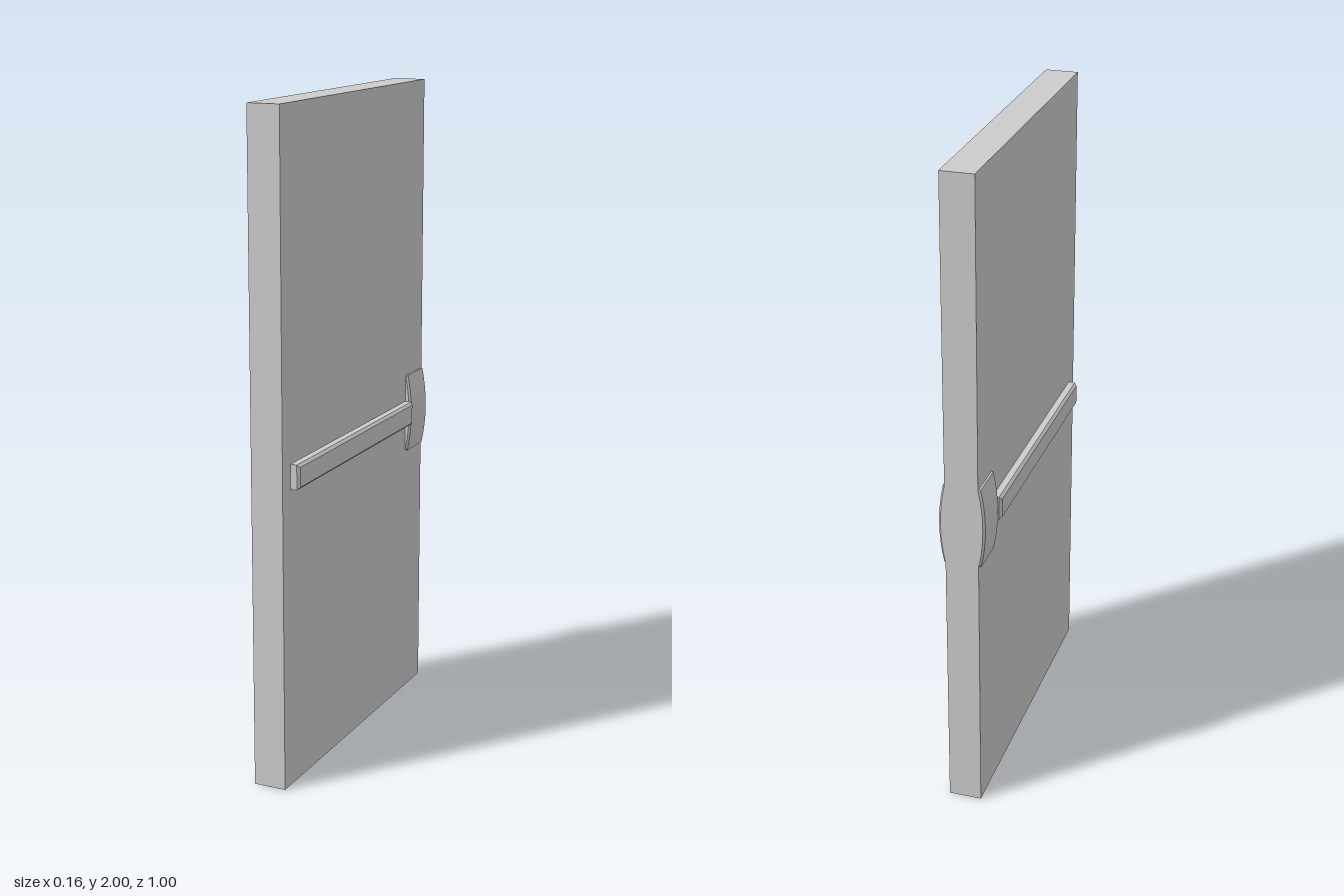
import * as THREE from 'three';

const grey = new THREE.MeshStandardMaterial({ color: 0xcccccc, flatShading: true });

function part(name, geometry) {
  const mesh = new THREE.Mesh(geometry, grey);
  mesh.name = name;
  return mesh;
}

// Bevelled push bar, extruded outwards from the door face along +x
function pushBarGeometry() {
  const length = 0.82, height = 0.075, bevel = 0.008;
  const shape = new THREE.Shape([
    new THREE.Vector2(-length / 2, -height / 2),
    new THREE.Vector2(length / 2, -height / 2),
    new THREE.Vector2(length / 2, height / 2),
    new THREE.Vector2(-length / 2, height / 2),
  ]);
  return new THREE.ExtrudeGeometry(shape, {
    depth: 0.03, bevelThickness: bevel, bevelSize: bevel, bevelOffset: -bevel, bevelSegments: 1,
  }).translate(0, 0, 0.04).rotateY(Math.PI / 2);
}

// Latch case with a bowed outer face, extruded along z
function latchCaseGeometry() {
  const width = 0.13, half = 0.125, bevel = 0.006;
  const shape = new THREE.Shape();
  shape.moveTo(0.044, -half);
  shape.lineTo(0.056, -half);
  shape.quadraticCurveTo(0.083, 0, 0.056, half);
  shape.lineTo(0.044, half);
  shape.closePath();
  return new THREE.ExtrudeGeometry(shape, {
    depth: width - 2 * bevel, curveSegments: 8,
    bevelThickness: bevel, bevelSize: bevel, bevelOffset: -bevel, bevelSegments: 1,
  }).translate(0, 0, -width / 2 + bevel);
}

export function createModel() {
  const model = new THREE.Group();
  model.name = 'door';

  // Door slab
  const slab = part('doorSlab', new THREE.BoxGeometry(0.1, 2, 1));
  slab.position.y = 1;
  model.add(slab);

  // Matching exit hardware on both faces; each part is symmetric in z, so a half turn mirrors it
  const barGeometry = pushBarGeometry(), caseGeometry = latchCaseGeometry();
  for (const [side, turn] of [['left', 0], ['right', Math.PI]]) {
    const bar = part(side + 'PushBar', barGeometry);
    bar.position.set(0, 0.947, 0.04);
    bar.rotation.y = turn;

    const latch = part(side + 'LatchCase', caseGeometry);
    latch.position.set(0, 0.945, -0.435);
    latch.rotation.y = turn;
    model.add(bar, latch);
  }
  return model;
}
